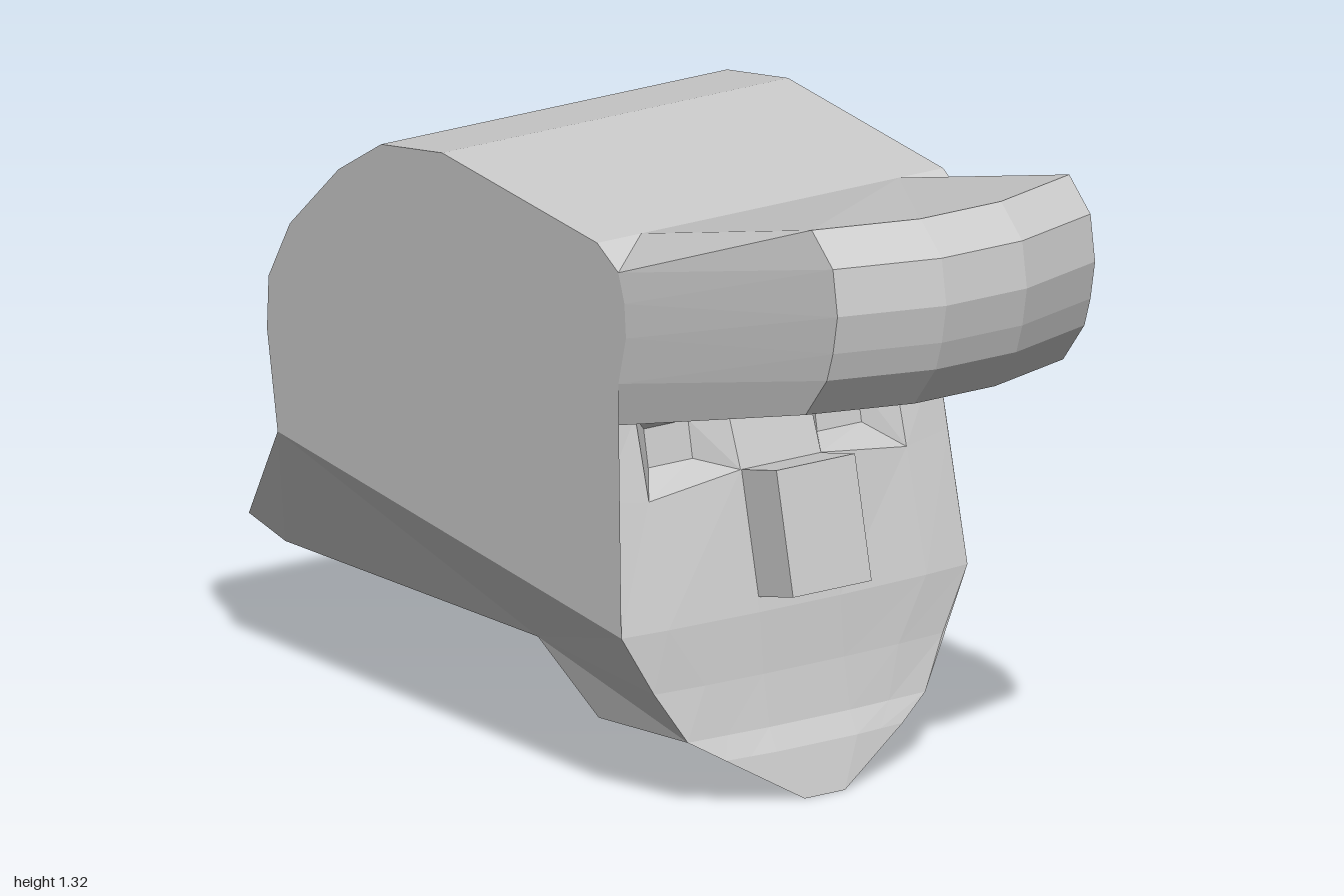
import * as THREE from 'three';

const material = new THREE.MeshStandardMaterial({ color: 0xcccccc, flatShading: true, side: THREE.DoubleSide });
const flip = ([x, y, z]) => [-x, y, z];

// Collects flat polygons, optionally mirrored across x, into one faceted mesh.
function shell(name, build) {
  const pos = [];
  const poly = (...p) => {
    for (let i = 1; i < p.length - 1; i++) pos.push(...p[0], ...p[i], ...p[i + 1]);
  };
  const both = (...p) => {
    poly(...p);
    poly(...p.map(flip).reverse());
  };
  // Full-width strip between two points and their mirror images
  const span = (p, q) => poly(p, q, flip(q), flip(p));
  build({ poly, both, span });
  const geo = new THREE.BufferGeometry();
  geo.setAttribute('position', new THREE.Float32BufferAttribute(pos, 3));
  geo.computeVertexNormals();
  const mesh = new THREE.Mesh(geo, material);
  mesh.name = name;
  return mesh;
}

export function createModel() {
  const group = new THREE.Group();
  const W = 0.43;

  // Outline of the crown from front top to nape
  const crown = [[1.175, 0.29], [1.24, -0.22], [1.21, -0.42], [1.125, -0.56], [0.975, -0.72],
    [0.85, -0.79], [0.74, -0.795], [0.535, -0.76]].map(([y, z]) => [W, y, z]);
  // Root of the brim on the side of the crown
  const root = [[1.175, 0.29], [1.13, 0.36], [1.07, 0.38], [1.0, 0.385], [0.9, 0.36], [0.79, 0.27]]
    .map(([y, z], i) => [i ? W : 0.32, y, z]);

  // Face columns (outer, inner, middle), from brow to chin
  const face = [
    [[W, 0.79, 0.27], [0.32, 0.79, 0.27], [0.1, 0.79, 0.275]],
    [[W, 0.64, 0.305], [0.32, 0.625, 0.315], [0.1, 0.655, 0.325]],
    [[W, 0.375, 0.37], [0.32, 0.375, 0.38], [0.1, 0.375, 0.388]],
    [[0.36, 0.25, 0.385], [0.24, 0.25, 0.395], [0.1, 0.25, 0.4]],
    [[0.295, 0.145, 0.41], [0.2, 0.145, 0.415], [0.1, 0.145, 0.42]],
    [[0.22, 0.1, 0.435], [0.16, 0.1, 0.44], [0.1, 0.1, 0.445]],
    [[0.05, 0, 0.47], [0.05, 0, 0.47], [0.05, 0, 0.47]],
  ];
  const edge = face.map((row) => row[0]);

  // Flared neck and jaw underside
  const tail = [0.32, 0.29, -1], neckBack = [0.32, 0.26, -0.88], neckFront = [0.32, 0.26, -0.05];
  const jawBack = [0.29, 0.125, 0.11], chinBack = [0.05, 0.035, 0.18];
  const nape = crown[crown.length - 1];

  group.add(shell('crown', ({ both, span }) => {
    crown.slice(1).forEach((p, i) => span(crown[i], p));
    both(edge[0], edge[1], edge[2], ...[...crown].reverse(), ...root.slice(1, -1));
    both(root[0], root[1], crown[0]);
  }));

  group.add(shell('neckFlare', ({ both, span }) => {
    both(edge[2], neckFront, neckBack, tail, nape);
    span(nape, tail);
    span(tail, neckBack);
    span(neckBack, neckFront);
  }));

  group.add(shell('jaw', ({ both, span }) => {
    both(edge[2], edge[3], edge[4], jawBack, neckFront);
    both(jawBack, edge[4], edge[5], edge[6], chinBack);
    span(neckFront, jawBack);
    span(jawBack, chinBack);
    span(chinBack, edge[6]);
  }));

  group.add(shell('face', ({ both, poly }) => {
    for (let r = 0; r < face.length - 1; r++) {
      const a = face[r], b = face[r + 1];
      both(a[0], a[1], b[1], b[0]);
      poly(a[2], flip(a[2]), flip(b[2]), b[2]);
      if (r > 0) both(a[1], a[2], b[2], b[1]);
    }
  }));

  // Sunken eye sockets
  group.add(shell('eyeSockets', ({ both }) => {
    const rim = [face[0][1], face[0][2], face[1][2], face[1][1]];
    const floor = [[0.265, 0.745, 0.225], [0.155, 0.745, 0.225], [0.155, 0.668, 0.24], [0.265, 0.668, 0.24]];
    both(...floor);
    rim.forEach((p, i) => {
      const j = (i + 1) % 4;
      both(p, rim[j], floor[j], floor[i]);
    });
  }));

  // Brim: root, side and middle sections lofted together
  group.add(shell('brim', ({ both, poly }) => {
    const side = [[1.315, 0.85], [1.25, 0.92], [1.155, 0.935], [1.075, 0.92], [1.015, 0.9], [0.928, 0.83]]
      .map(([y, z]) => [0.32, y, z]);
    const mid = side.map(([, y, z]) => [0.1, y, z + 0.067]);
    for (let i = 0; i < 5; i++) {
      both(root[i], side[i], side[i + 1], root[i + 1]);
      both(side[i], mid[i], mid[i + 1], side[i + 1]);
      poly(mid[i], flip(mid[i]), flip(mid[i + 1]), mid[i + 1]);
    }
    poly(root[0], flip(root[0]), flip(side[0]), flip(mid[0]), mid[0], side[0]);
    poly(side[5], mid[5], flip(mid[5]), flip(side[5]), flip(root[5]), root[5]);
  }));

  // Slanted block nose
  const nose = new THREE.Mesh(new THREE.BoxGeometry(0.195, 0.256, 0.14), material);
  nose.name = 'nose';
  nose.position.set(0, 0.54, 0.399);
  nose.rotation.x = -0.217;
  group.add(nose);

  return group;
}
